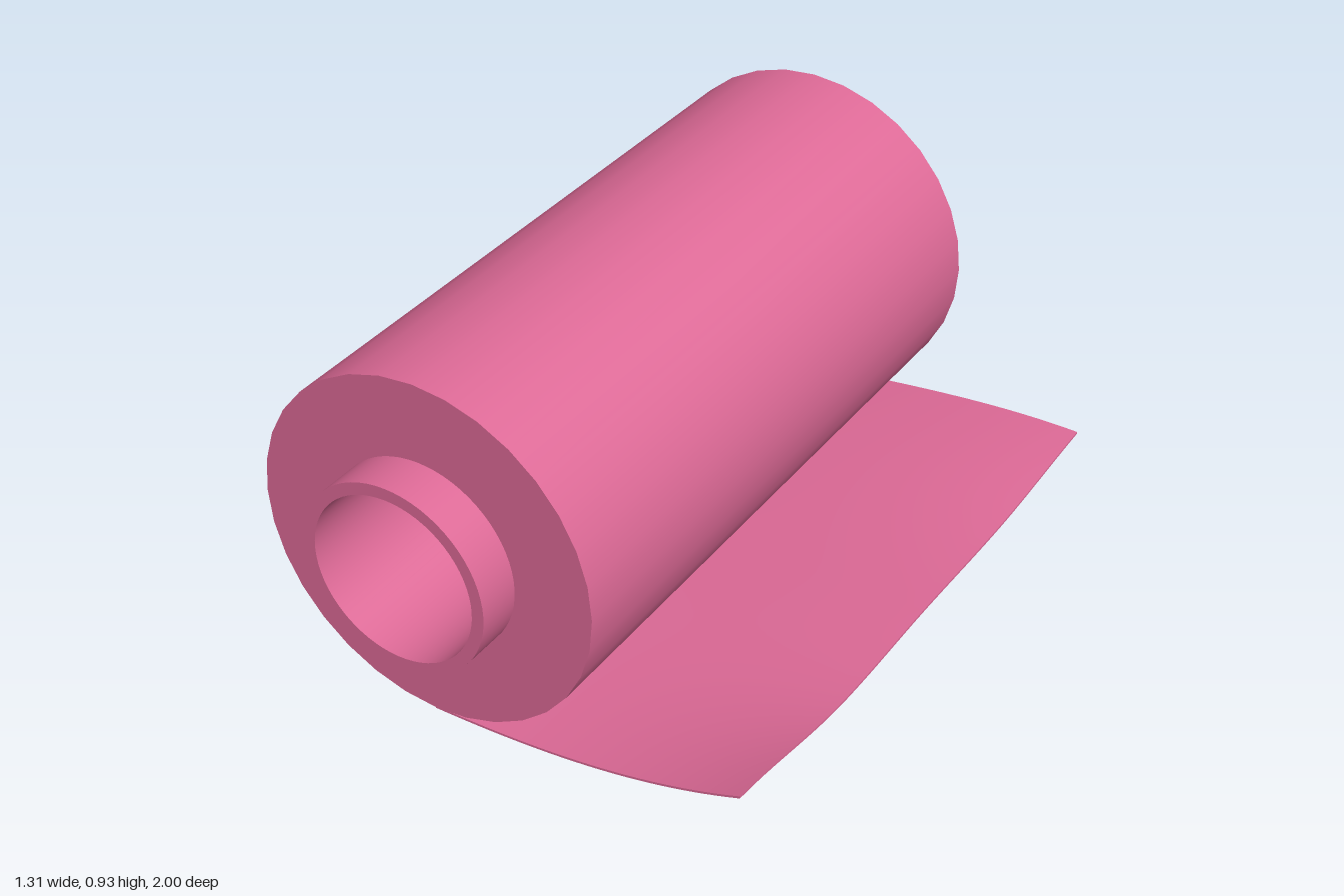
import * as THREE from 'three';
import { mergeGeometries } from 'three/addons/utils/BufferGeometryUtils.js';

const material = new THREE.MeshStandardMaterial({ color: 0xde6a97 });
const AXIS_X = -0.193, RADIUS = 0.463, HALF = 0.882, EDGE_X = 0.655;

// Hollow cylinder along z; each wall is its own lathe so the rims stay crisp
function hollowCylinder(name, outer, inner, half, sides) {
  const profile = [[outer, -half], [outer, half], [inner, half], [inner, -half], [outer, -half]]
    .map(([r, y]) => new THREE.Vector2(r, y));
  const walls = [0, 1, 2, 3].map(i => new THREE.LatheGeometry(profile.slice(i, i + 2), sides));
  const mesh = new THREE.Mesh(mergeGeometries(walls).rotateX(Math.PI / 2), material);
  mesh.name = name;
  mesh.position.set(AXIS_X, RADIUS + 0.002, 0);
  return mesh;
}

// Loose end of the roll: a thin slab bent into a gently curling surface
function looseSheet() {
  const thickness = 0.006, width = EDGE_X - AXIS_X;
  const geometry = new THREE.BoxGeometry(width, thickness, HALF * 2, 28, 1, 36);
  geometry.translate(width / 2, thickness / 2, 0);
  // height of the free edge, from back to front
  const edge = new THREE.SplineCurve([
    [-0.882, 0.07], [-0.441, 0.048], [0, 0.058], [0.441, 0.062], [0.882, 0.128],
  ].map(([z, y]) => new THREE.Vector2(z, y)));
  const p = geometry.attributes.position;
  for (let i = 0; i < p.count; i++) {
    const u = p.getX(i) / width;
    const v = THREE.MathUtils.clamp((p.getZ(i) + HALF) / (2 * HALF), 0, 1);
    const c1 = THREE.MathUtils.lerp(0.034, 0, v);
    const c2 = THREE.MathUtils.lerp(0.08, 0.022, v);
    const rise = 3 * u * (1 - u) ** 2 * c1 + 3 * u * u * (1 - u) * c2 + u ** 3 * edge.getPoint(v).y;
    p.setY(i, p.getY(i) + rise);
  }
  geometry.computeVertexNormals();
  const mesh = new THREE.Mesh(geometry, material);
  mesh.name = 'looseSheet';
  mesh.position.x = AXIS_X;
  return mesh;
}

export function createModel() {
  const model = new THREE.Group();
  model.name = 'sheetRoll';
  model.add(
    hollowCylinder('woundRoll', RADIUS, 0.252, HALF, 32),
    hollowCylinder('coreTube', 0.254, 0.222, 1, 64),
    looseSheet(),
  );
  return model;
}
